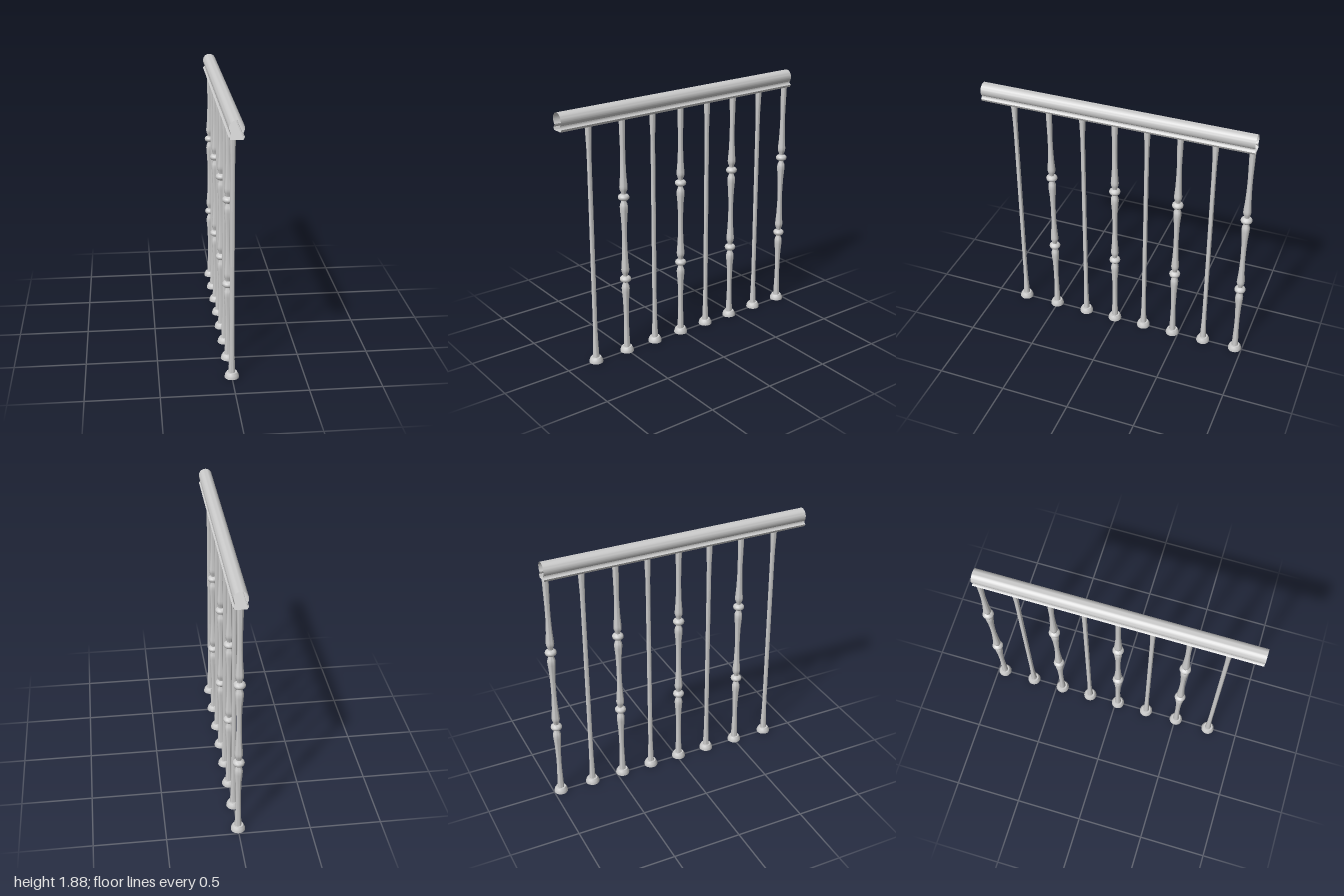
import * as THREE from 'three';
import { toCreasedNormals } from 'three/addons/utils/BufferGeometryUtils.js';

const SEGMENTS = 20;
const material = new THREE.MeshStandardMaterial({ color: 0xcccccc, side: THREE.DoubleSide });

// Turned part from [radius, height] pairs, bottom to top
function turned(points, crease = 0.7) {
  const profile = points.map(([r, y]) => new THREE.Vector2(r, y));
  return toCreasedNormals(new THREE.LatheGeometry(profile, SEGMENTS), crease);
}

// Decorative knuckle: bulge, neck, ring, neck, bulge around height y
function knuckle(y) {
  return [
    [0.022, y - 0.16], [0.028, y - 0.095], [0.029, y - 0.07], [0.026, y - 0.052],
    [0.018, y - 0.033], [0.017, y - 0.024], [0.029, y - 0.019], [0.038, y - 0.011],
    [0.041, y], [0.038, y + 0.011], [0.029, y + 0.019], [0.017, y + 0.024],
    [0.018, y + 0.033], [0.026, y + 0.052], [0.029, y + 0.07], [0.028, y + 0.085],
    [0.022, y + 0.16],
  ];
}

// Hollow handrail section: round grip, narrow waist, flared flat foot
function railGeometry(zBack, zFront) {
  const s = new THREE.Shape();
  s.moveTo(-0.04, 1.757);
  s.lineTo(0.04, 1.757);
  s.lineTo(0.05, 1.775);
  s.quadraticCurveTo(0.034, 1.784, 0.036, 1.797);
  s.quadraticCurveTo(0.049, 1.812, 0.049, 1.832);
  s.absarc(0, 1.832, 0.049, 0, Math.PI, false);
  s.quadraticCurveTo(-0.049, 1.812, -0.036, 1.797);
  s.quadraticCurveTo(-0.034, 1.784, -0.05, 1.775);
  s.closePath();
  const outline = s.getPoints(8);
  const positions = [];
  // Open-ended skin: one quad per outline edge
  for (let i = 0; i < outline.length; i++) {
    const a = outline[i];
    const b = outline[(i + 1) % outline.length];
    if (a.distanceTo(b) < 1e-6) continue;
    positions.push(a.x, a.y, zFront, a.x, a.y, zBack, b.x, b.y, zBack);
    positions.push(a.x, a.y, zFront, b.x, b.y, zBack, b.x, b.y, zFront);
  }
  const g = new THREE.BufferGeometry();
  g.setAttribute('position', new THREE.Float32BufferAttribute(positions, 3));
  return toCreasedNormals(g, 0.6);
}

export function createModel() {
  const model = new THREE.Group();
  model.name = 'balustrade';

  const add = (parent, geometry, name) => {
    const mesh = new THREE.Mesh(geometry, material);
    mesh.name = name;
    parent.add(mesh);
  };

  add(model, railGeometry(-0.97, 1), 'handrail');

  const plain = turned([
    [0.023, 0.04], [0.022, 0.07], [0.017, 0.2], [0.016, 0.3],
    [0.016, 1.5], [0.017, 1.6], [0.022, 1.73], [0.022, 1.757], [0, 1.757],
  ]);
  const ornate = turned([
    [0.024, 0.04], [0.023, 0.07], [0.018, 0.22], [0.018, 0.3],
    ...knuckle(0.578), [0.018, 0.84], [0.018, 0.93],
    ...knuckle(1.197), [0.018, 1.47], [0.018, 1.55],
    [0.022, 1.73], [0.022, 1.757], [0, 1.757],
  ]);
  // Bell-shaped shoe, open underneath
  const shoe = turned([
    [0.05, 0], [0.049, 0.012], [0.045, 0.025], [0.036, 0.04], [0, 0.04],
  ]);

  // Plain and ornate balusters alternate from front to back
  const spacing = [0.77, 0.505, 0.255, 0.017, -0.218, -0.453, -0.697, -0.947];
  spacing.forEach((z, i) => {
    const baluster = new THREE.Group();
    baluster.name = i % 2 ? 'ornateBaluster' : 'plainBaluster';
    baluster.position.z = z;
    add(baluster, i % 2 ? ornate : plain, 'spindle');
    add(baluster, shoe, 'shoe');
    model.add(baluster);
  });

  return model;
}
